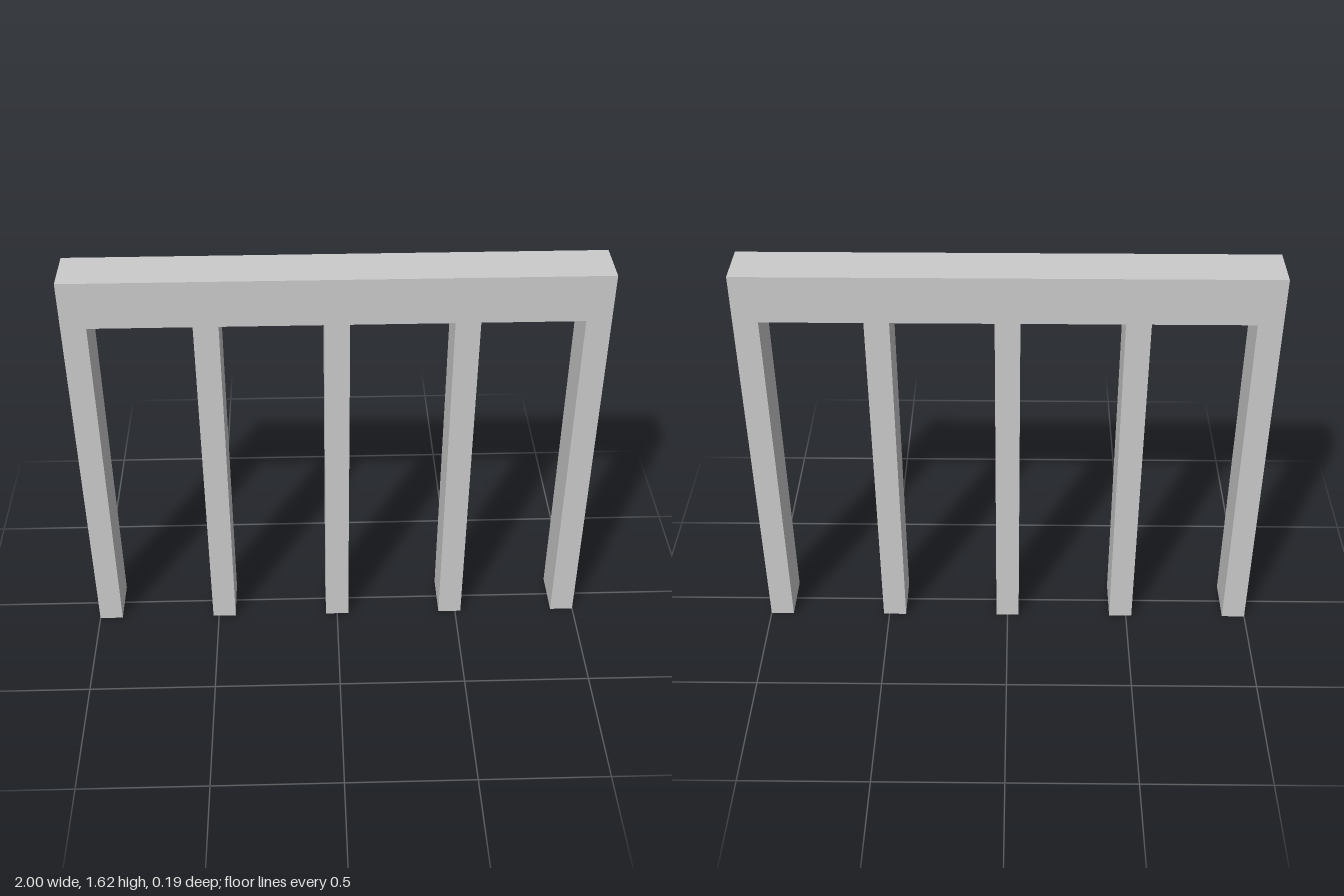
import * as THREE from 'three';

const LENGTH = 2, HEIGHT = 1.625, DEPTH = 0.1875;
const BEAM_BOTTOM = 1.4375, LEG_WIDTH = 0.09375, LEG_COUNT = 5;

export function createModel() {
  const group = new THREE.Group();
  group.name = 'postAndBeamFrame';
  const material = new THREE.MeshStandardMaterial({ color: 0xcccccc, flatShading: true });

  // Comb-shaped outline: five evenly spaced legs, joined by the top beam
  const outline = new THREE.Shape();
  const pitch = (LENGTH - LEG_WIDTH) / (LEG_COUNT - 1);
  outline.moveTo(-LENGTH / 2, HEIGHT);
  for (let i = 0; i < LEG_COUNT; i++) {
    const left = -LENGTH / 2 + i * pitch;
    const right = left + LEG_WIDTH;
    if (i > 0) outline.lineTo(left, BEAM_BOTTOM);
    outline.lineTo(left, 0);
    outline.lineTo(right, 0);
    if (i < LEG_COUNT - 1) outline.lineTo(right, BEAM_BOTTOM);
  }
  outline.lineTo(LENGTH / 2, HEIGHT);
  outline.closePath();

  // One solid piece, centred front to back
  const geometry = new THREE.ExtrudeGeometry(outline, { depth: DEPTH, bevelEnabled: false });
  geometry.translate(0, 0, -DEPTH / 2);
  const frame = new THREE.Mesh(geometry, material);
  frame.name = 'beamWithLegs';
  group.add(frame);
  return group;
}
